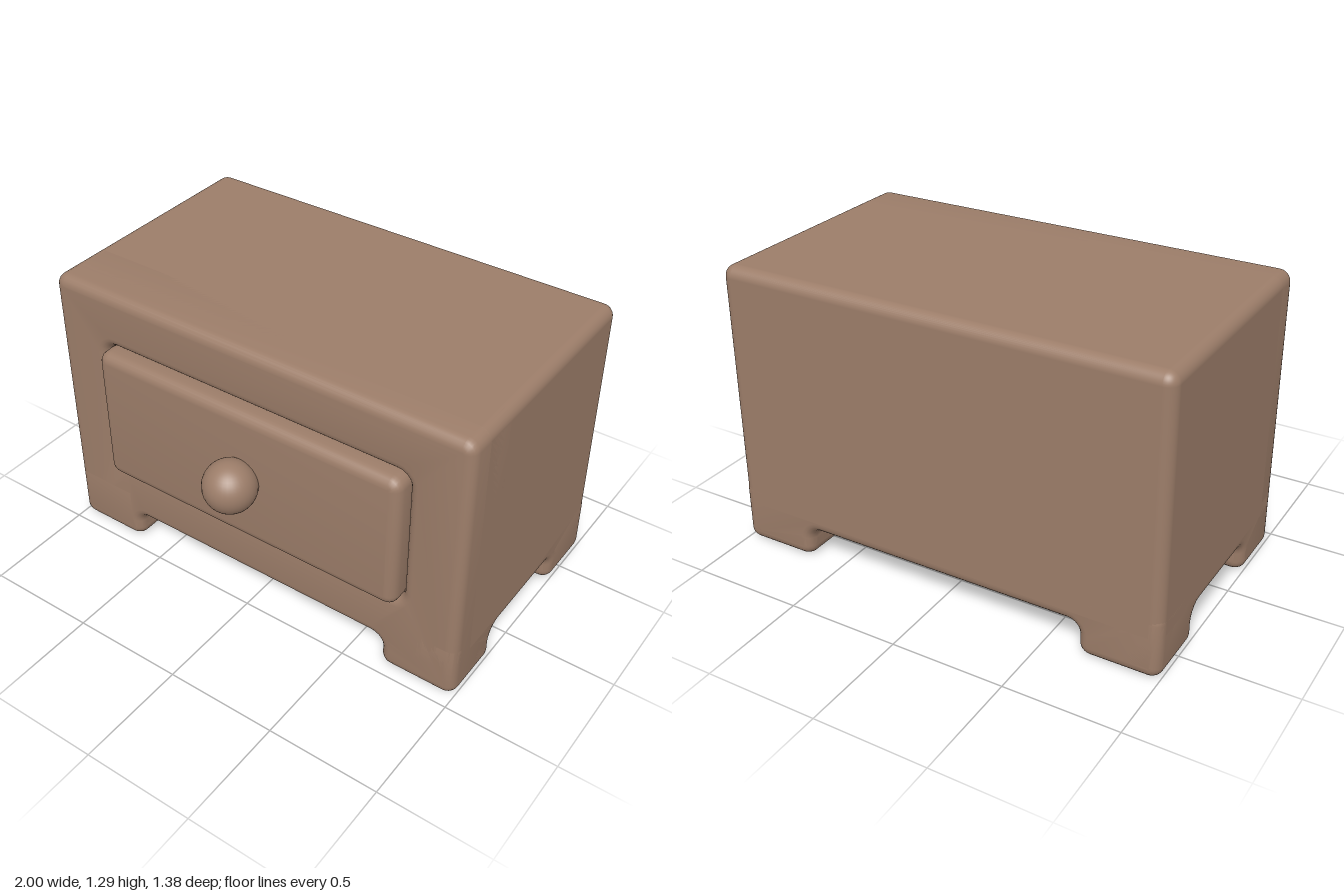
import * as THREE from 'three';
import { toCreasedNormals } from 'three/addons/utils/BufferGeometryUtils.js';
import { RoundedBoxGeometry } from 'three/addons/geometries/RoundedBoxGeometry.js';

const R = 0.05; // rounding radius of every edge
const BEVEL = 0.045;
const LEG_H = 0.14;
const TOP = 1.29;
const BACK = -0.69;
const FRONT = 0.45;

// Closed outline through the corner points, each corner rounded by R.
function roundedOutline(points, target = new THREE.Shape()) {
  const corners = points.map(p => new THREE.Vector2(...p));
  const toward = (a, b, d) => a.clone().add(b.clone().sub(a).setLength(d));
  corners.forEach((c, i) => {
    const prev = corners.at(i - 1);
    const next = corners[(i + 1) % corners.length];
    const a = toward(c, prev, R), b = toward(c, next, R);
    const ca = toward(c, prev, R * 0.45), cb = toward(c, next, R * 0.45);
    if (i === 0) target.moveTo(a.x, a.y);
    else target.lineTo(a.x, a.y);
    target.bezierCurveTo(ca.x, ca.y, cb.x, cb.y, b.x, b.y);
  });
  target.closePath();
  return target;
}

const rect = (x0, x1, y0, y1) => [[x0, y0], [x1, y0], [x1, y1], [x0, y1]];

// Panel outline standing on two feet, with a gap from g0 to g1.
const footed = (x0, x1, g0, g1, top) => roundedOutline([
  [x0, 0], [g0, 0], [g0, LEG_H], [g1, LEG_H], [g1, 0], [x1, 0], [x1, top], [x0, top],
]);

// Extrusion from z = 0 to z = depth with rounded rims.
function slab(shape, depth) {
  const geo = new THREE.ExtrudeGeometry(shape, {
    depth: depth - 2 * BEVEL, bevelEnabled: true, bevelThickness: BEVEL,
    bevelSize: BEVEL, bevelOffset: -BEVEL, bevelSegments: 5, curveSegments: 5,
  });
  geo.translate(0, 0, BEVEL);
  return toCreasedNormals(geo, 0.6);
}

export function createModel() {
  const group = new THREE.Group();
  group.name = 'nightstand';
  const wood = new THREE.MeshStandardMaterial({ color: 0x9c7d69 });
  const add = (name, geo, x = 0, y = 0, z = 0) => {
    const mesh = new THREE.Mesh(geo, wood);
    mesh.name = name;
    mesh.position.set(x, y, z);
    group.add(mesh);
    return mesh;
  };

  // Main cabinet block, stopping short of the front so the opening is recessed
  const coreFront = 0.38;
  add('cabinet', new RoundedBoxGeometry(2, TOP - LEG_H, coreFront - BACK, 5, R),
    0, (TOP + LEG_H) / 2, (coreFront + BACK) / 2);

  // Front frame with legs and a soft-edged drawer opening
  const drawerRect = rect(-0.74, 0.74, 0.4, 1.035);
  const frame = footed(-1, 1, -0.65, 0.65, TOP);
  frame.holes.push(roundedOutline(drawerRect, new THREE.Path()));
  add('frontFrame', slab(frame, 0.31), 0, 0, FRONT - 0.31);

  // Back and side aprons carrying the legs
  add('backApron', slab(footed(-1, 1, -0.65, 0.65, 0.3), 0.32), 0, 0, BACK);
  const side = slab(footed(-FRONT, -BACK, -0.14, 0.37, 0.3), 0.35);
  side.rotateY(Math.PI / 2);
  add('leftApron', side, 0.65);
  add('rightApron', side, -1);

  // Drawer front and round knob
  add('drawer', slab(roundedOutline(drawerRect), 0.13), 0, 0, 0.38);
  add('knob', new THREE.SphereGeometry(0.115, 32, 24), 0, 0.72, 0.575);

  return group;
}
